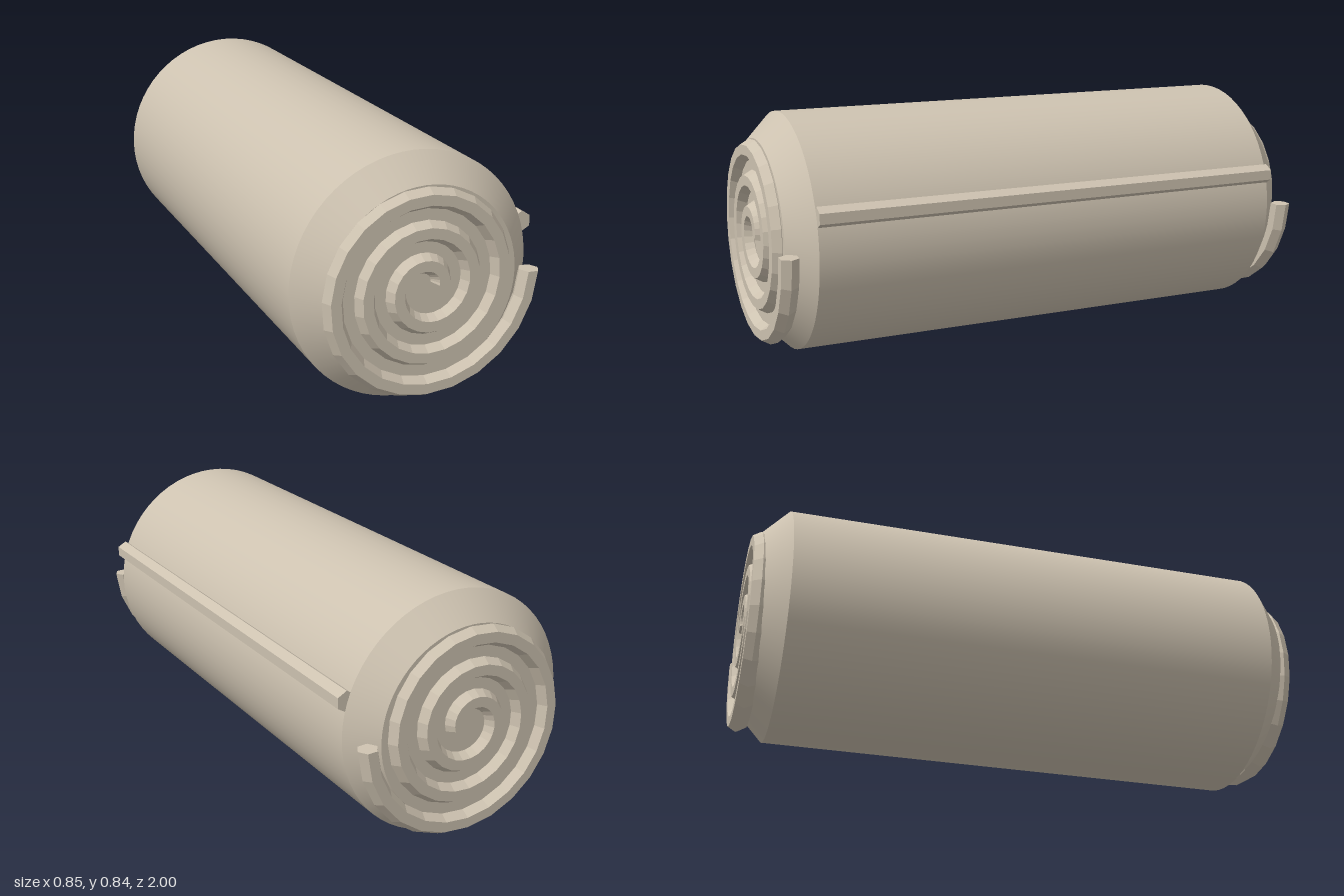
import * as THREE from 'three';

const CX = -0.008, CY = 0.421;

// Faceted copy of a geometry, one normal per face
function faceted(geometry) {
  const flat = geometry.index ? geometry.toNonIndexed() : geometry;
  flat.computeVertexNormals();
  return flat;
}

// Hexagonal bar swept along a flat spiral; side is +1 (front) or -1 (back)
function spiralGeometry(side) {
  const turns = 3, perTurn = 24, steps = turns * perTurn;
  const pitch = 0.108, startRadius = 0.049, size = 0.035;
  const positions = [], index = [];
  for (let i = 0; i <= steps; i++) {
    const a = (i / perTurn) * Math.PI * 2;
    const r = startRadius + (pitch * i) / perTurn;
    const slope = Math.atan2(pitch / (Math.PI * 2), r);
    const nx = Math.cos(a - slope), ny = Math.sin(a - slope);
    for (let k = 0; k < 6; k++) {
      const u = size * Math.cos((k * Math.PI) / 3);
      const v = size * Math.sin((k * Math.PI) / 3);
      positions.push(r * Math.cos(a) + nx * u, r * Math.sin(a) + ny * u, side * (0.97 + v));
    }
  }
  const face = (a, b, c) => (side > 0 ? index.push(a, b, c) : index.push(a, c, b));
  for (let i = 0; i < steps; i++) {
    for (let k = 0; k < 6; k++) {
      const a = i * 6 + k, b = i * 6 + ((k + 1) % 6);
      face(a, a + 6, b + 6);
      face(a, b + 6, b);
    }
  }
  const last = steps * 6;
  for (let k = 1; k < 5; k++) {
    face(0, k, k + 1);
    face(last, last + k + 1, last + k);
  }
  const geometry = new THREE.BufferGeometry();
  geometry.setAttribute('position', new THREE.Float32BufferAttribute(positions, 3));
  geometry.setIndex(index);
  return faceted(geometry);
}

export function createModel() {
  const group = new THREE.Group();
  const clay = new THREE.MeshStandardMaterial({ color: 0xcdc2b0 });
  clay.name = 'warm beige';

  const add = (name, geometry, x, y, z) => {
    const mesh = new THREE.Mesh(geometry, clay);
    mesh.name = name;
    mesh.position.set(x, y, z);
    group.add(mesh);
    return mesh;
  };

  // Long round body lying along z
  const barrel = new THREE.CylinderGeometry(0.418, 0.418, 1.76, 64, 1, true);
  add('barrel', barrel.rotateX(Math.PI / 2), CX, CY, 0);

  // Bevelled ends, each with a raised spiral
  for (const side of [1, -1]) {
    const end = side > 0 ? 'front' : 'back';
    const bevel = new THREE.CylinderGeometry(0.33, 0.418, 0.088, 64);
    add(end + 'Bevel', bevel.rotateX((side * Math.PI) / 2), CX, CY, side * 0.924);
    add(end + 'Spiral', spiralGeometry(side), 0, 0.42, 0);
  }

  // Hexagonal seam bar along the side
  const bar = new THREE.CylinderGeometry(0.036, 0.036, 1.76, 6).rotateX(Math.PI / 2);
  add('seamBar', faceted(bar), 0.394, 0.547, 0);

  return group;
}
